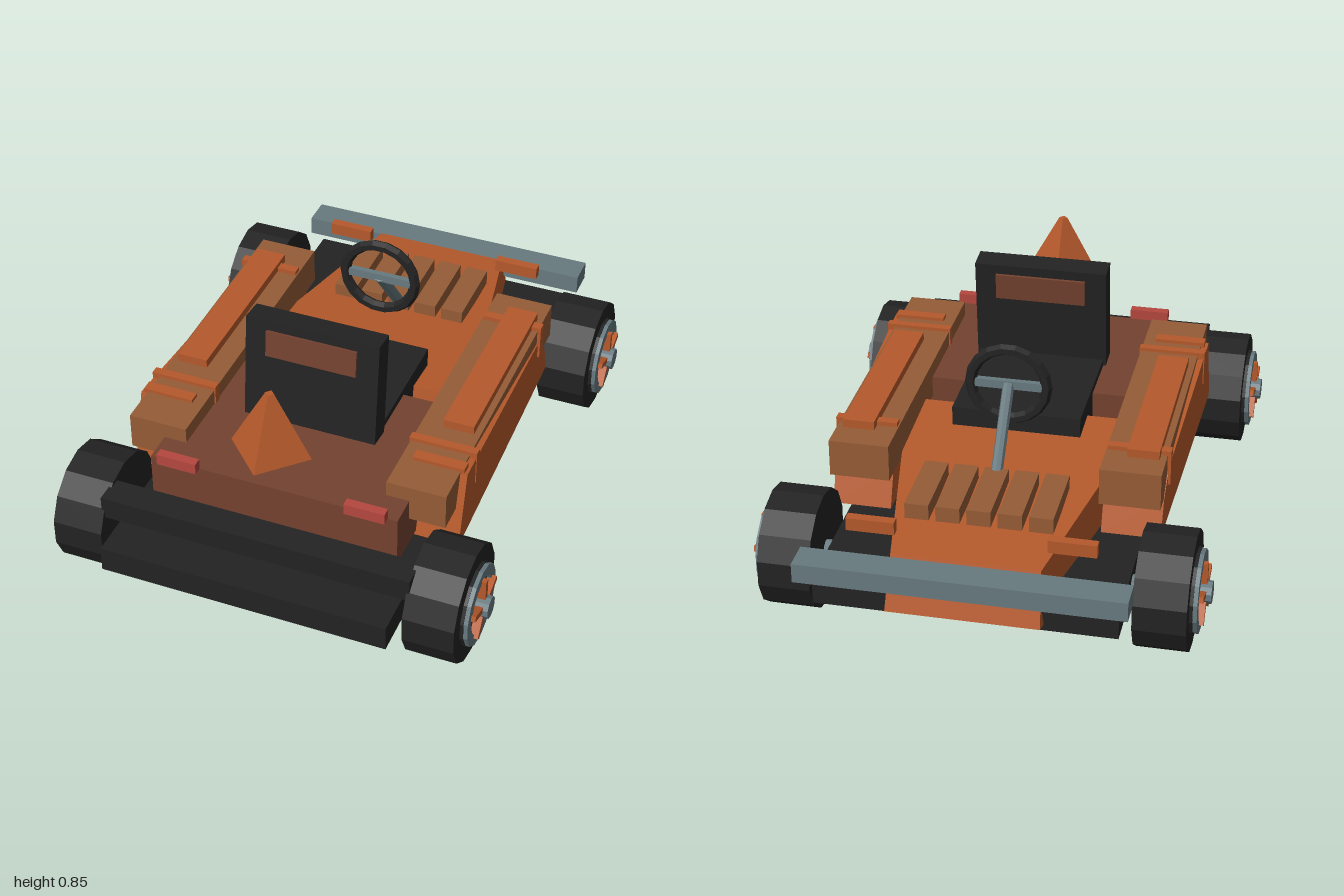
import * as THREE from 'three';

const paint = (name, color) => {
  const m = new THREE.MeshStandardMaterial({ color });
  m.name = name;
  return m;
};

export function createModel() {
  const orange = paint('orange', 0xb5592b);
  const tan = paint('tan brown', 0x955c36);
  const brown = paint('dark brown', 0x74422f);
  const red = paint('lamp red', 0xb5473f);
  const steel = paint('steel', 0x687a80);
  const black = paint('black', 0x232323);

  const kart = new THREE.Group();
  kart.name = 'kart';

  // Faceted mesh from any geometry
  function add(name, geo, mat, parent = kart) {
    const g = geo.index ? geo.toNonIndexed() : geo;
    g.computeVertexNormals();
    const mesh = new THREE.Mesh(g, mat);
    mesh.name = name;
    parent.add(mesh);
    return mesh;
  }
  // Box given by its limits on each axis
  function box(name, mat, [x0, x1], [y0, y1], [z0, z1], parent = kart) {
    const mesh = add(name, new THREE.BoxGeometry(Math.abs(x1 - x0), y1 - y0, z1 - z0), mat, parent);
    mesh.position.set((x0 + x1) / 2, (y0 + y1) / 2, (z0 + z1) / 2);
    return mesh;
  }
  // Side profile of [z, y] points, with x set by a rule
  function prism(name, mat, profile, rule) {
    const shape = new THREE.Shape(profile.map(([z, y]) => new THREE.Vector2(z, y)));
    const geo = new THREE.ExtrudeGeometry(shape, { depth: 1, bevelEnabled: false });
    geo.translate(0, 0, -0.5).rotateY(-Math.PI / 2);
    const p = geo.attributes.position;
    for (let i = 0; i < p.count; i++) {
      p.setX(i, rule(Math.sign(p.getX(i)), p.getY(i), p.getZ(i)));
    }
    return add(name, geo, mat);
  }
  // Cylinder along x between two x values, with a corner at the top
  function xCylinder(name, mat, r, x0, x1, sides, parent) {
    const geo = new THREE.CylinderGeometry(r, r, x1 - x0, sides);
    geo.rotateZ(-Math.PI / 2).rotateX(-Math.PI / 2).translate((x0 + x1) / 2, 0, 0);
    return add(name, geo, mat, parent);
  }

  // Chassis and bumpers
  box('chassis', black, [-0.5, 0.5], [0.16, 0.25], [-0.92, 1]);
  box('steelBumper', steel, [-0.54, 0.54], [0.285, 0.353], [-1, -0.895]);
  box('rearBar', black, [-0.54, 0.54], [0.295, 0.375], [0.8, 0.9]);
  box('engineCover', brown, [-0.435, 0.435], [0.27, 0.455], [0.12, 0.73]);

  // Tapered hood with sloping nose, and its vents
  prism('hood', orange,
    [[0.05, 0.25], [0.02, 0.42], [-0.41, 0.39], [-0.89, 0.36], [-0.95, 0.18]],
    (s, y, z) => s * (0.24 + 0.2 * (z + 0.9) + 0.12 * (0.38 - y)));
  for (let i = -2; i <= 2; i++) {
    box('hoodVent', tan, [i * 0.103 - 0.04, i * 0.103 + 0.04], [0.38, 0.435], [-0.7, -0.42]);
  }

  // Side pods, trim and lamps
  for (const s of [1, -1]) {
    const span = (a, b) => (s > 0 ? [a, b] : [-b, -a]);
    prism('sidePanel', orange,
      [[0.56, 0.255], [0.49, 0.505], [-0.33, 0.455], [-0.41, 0.385], [-0.46, 0.255]],
      (e, y, z) => s * (e * s > 0 ? 0.572 + 0.025 * z : 0.36));
    box('sidePod', tan, span(0.355, 0.56), [0.38, 0.51], [-0.485, 0.625]);
    box('podTopPlate', orange, span(0.43, 0.538), [0.5, 0.54], [-0.385, 0.295]);
    box('podRearBar', orange, span(0.395, 0.573), [0.49, 0.522], [0.45, 0.49]);
    box('podStrapFront', orange, span(0.36, 0.572), [0.4, 0.525], [-0.35, -0.318]);
    box('podStrapRear', orange, span(0.35, 0.585), [0.4, 0.522], [0.37, 0.4]);
    box('tailLamp', red, span(0.26, 0.4), [0.452, 0.492], [0.725, 0.757]);
    box('noseLamp', orange, span(0.25, 0.41), [0.385, 0.43], [-0.818, -0.785]);
  }

  // Seat with a pad through the tilted backrest
  box('seatCushion', black, [-0.225, 0.225], [0.36, 0.48], [-0.12, 0.34]);
  const back = new THREE.Group();
  back.name = 'seatBack';
  back.position.set(0, 0.65, 0.355);
  back.rotation.x = -0.1;
  kart.add(back);
  box('backrest', black, [-0.235, 0.235], [-0.19, 0.19], [-0.043, 0.043], back);
  box('backrestPad', brown, [-0.16, 0.16], [0.06, 0.155], [-0.053, 0.053], back);

  // Steering wheel and column
  const ring = add('steeringWheel', new THREE.TorusGeometry(0.13, 0.02, 6, 18), black);
  ring.position.set(0, 0.655, -0.235);
  box('steeringSpoke', steel, [-0.12, 0.12], [0.64, 0.67], [-0.245, -0.225]);
  const top = new THREE.Vector3(0, 0.655, -0.235);
  const foot = new THREE.Vector3(0, 0.405, -0.44);
  const column = add('steeringColumn',
    new THREE.CylinderGeometry(0.02, 0.02, top.distanceTo(foot), 8), steel);
  column.position.addVectors(top, foot).multiplyScalar(0.5);
  column.quaternion.setFromUnitVectors(new THREE.Vector3(0, 1, 0), top.clone().sub(foot).normalize());

  // Four-sided cone on a short stub
  add('coneMarker', new THREE.CylinderGeometry(0.015, 0.14, 0.228, 4), orange).position.set(0, 0.731, 0.725);
  add('coneStub', new THREE.CylinderGeometry(0.018, 0.018, 0.035, 8), steel).position.set(0, 0.602, 0.725);

  // Axles and wheels
  const R = 0.2025;
  const rim = [[0.1, 0.712], [0.14, 0.712], [0.14, 0.73], [0.1, 0.73], [0.1, 0.712]]
    .map(([r, h]) => new THREE.Vector2(r, h));
  for (const z of [0.74, -0.66]) {
    xCylinder('axle', steel, 0.03, -0.55, 0.55, 8, kart).position.set(0, R, z);
    for (const turn of [0, Math.PI]) {
      const wheel = new THREE.Group();
      wheel.name = 'wheel';
      wheel.position.set(0, R, z);
      wheel.rotation.y = turn;
      kart.add(wheel);
      xCylinder('tyre', black, R, 0.53, 0.705, 14, wheel);
      xCylinder('wheelDisc', black, 0.143, 0.7, 0.716, 14, wheel);
      add('rim', new THREE.LatheGeometry(rim, 14).rotateZ(-Math.PI / 2).rotateX(-Math.PI / 2), steel, wheel);
      for (let i = 0; i < 5; i++) {
        const geo = new THREE.BoxGeometry(0.03, 0.11, 0.02);
        geo.translate(0.73, 0.055, 0).rotateX((i * Math.PI * 2) / 5);
        add('spoke', geo, orange, wheel);
      }
      xCylinder('hub', steel, 0.038, 0.7, 0.762, 10, wheel);
    }
  }
  return kart;
}
